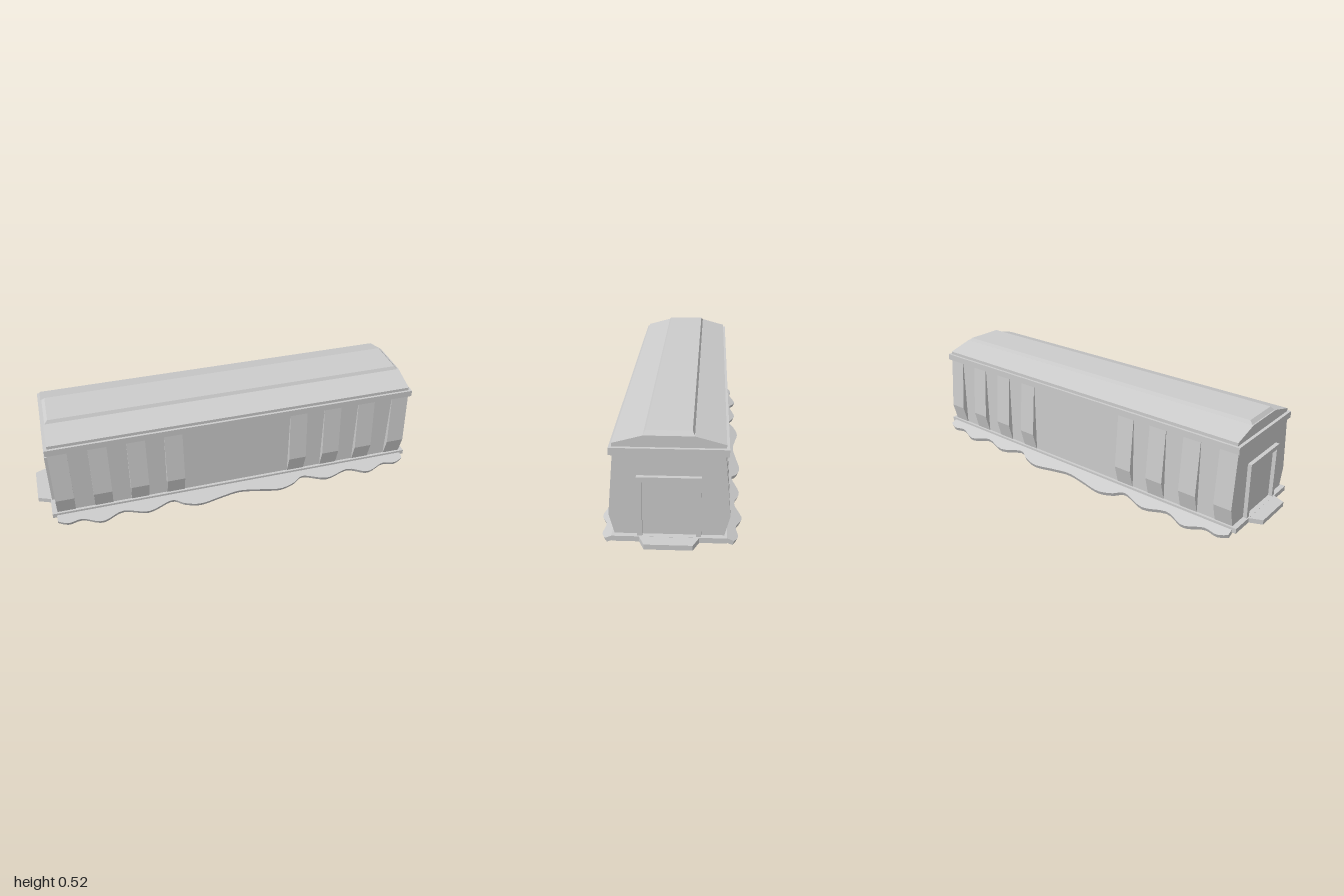
import * as THREE from 'three';

const material = new THREE.MeshStandardMaterial({ color: 0xcccccc, flatShading: true });

function add(parent, name, geometry, x = 0, y = 0, z = 0) {
  const mesh = new THREE.Mesh(geometry, material);
  mesh.name = name;
  mesh.position.set(x, y, z);
  parent.add(mesh);
  return mesh;
}

const shapeOf = (points) => new THREE.Shape(points.map(([a, b]) => new THREE.Vector2(a, b)));

// Extrudes a (z, y) section along x, centred on x = 0
function alongX(points, length) {
  const g = new THREE.ExtrudeGeometry(shapeOf(points), { depth: length, bevelEnabled: false });
  g.translate(0, 0, -length / 2);
  return g.rotateY(-Math.PI / 2).rotateX(0).scale(1, 1, 1);
}

// Box given by its full width, its bottom and top heights and its depth
function slab(parent, name, width, y0, y1, depth) {
  return add(parent, name, new THREE.BoxGeometry(width, y1 - y0, depth), 0, (y0 + y1) / 2, 0);
}

// Sloping skirt with a wavy outer edge, along the +z side
function skirtGeometry() {
  const half = [[0, 0.285], [0.1, 0.297], [0.21, 0.313], [0.29, 0.297], [0.353, 0.27], [0.475, 0.303],
    [0.6, 0.277], [0.705, 0.309], [0.8, 0.28], [0.87, 0.288], [0.92, 0.27]];
  const angle = 0.395, c = Math.cos(angle), s = Math.sin(angle), z0 = 0.226, y0 = 0.0555;
  const edge = [...half.slice(1).reverse().map(([x, z]) => [-x, z]), ...half]
    .map(([x, z]) => new THREE.Vector2(x, (z - z0) / c));
  const shape = new THREE.Shape();
  shape.moveTo(-0.92, 0);
  shape.lineTo(edge[0].x, edge[0].y);
  shape.splineThru(edge.slice(1));
  shape.lineTo(0.92, 0);
  shape.closePath();
  const g = new THREE.ExtrudeGeometry(shape, { depth: 0.02, bevelEnabled: false, curveSegments: 4 });
  const basis = new THREE.Matrix4().makeBasis(
    new THREE.Vector3(1, 0, 0), new THREE.Vector3(0, -s, c), new THREE.Vector3(0, -c, -s));
  return g.applyMatrix4(basis).translate(0, y0, z0);
}

export function createModel() {
  const model = new THREE.Group();
  model.name = 'railCarriage';

  // Main hull: floor, walls and cornice
  slab(model, 'floor', 1.88, 0.037, 0.061, 0.48);
  slab(model, 'body', 1.83, 0.06, 0.43, 0.452);
  slab(model, 'cornice', 1.85, 0.423, 0.455, 0.486);

  // Roof with shallow slopes
  add(model, 'roof', alongX([[-0.231, 0.45], [0.231, 0.45], [0.231, 0.47], [0.104, 0.505],
    [-0.104, 0.505], [-0.231, 0.47]], 1.82));

  // Raised roof panel, tapered on all four sides
  const cap = new THREE.BoxGeometry(1.81, 0.016, 0.208);
  const p = cap.attributes.position;
  for (let i = 0; i < p.count; i++) {
    if (p.getY(i) > 0) p.setXYZ(i, Math.sign(p.getX(i)) * 0.888, p.getY(i), Math.sign(p.getZ(i)) * 0.094);
  }
  cap.computeVertexNormals();
  add(model, 'roofPanel', cap, 0, 0.512, 0);

  // Bulging ribs span both sides of the body
  const ribSection = [[-0.229, 0.061], [0.229, 0.061], [0.252, 0.15], [0.229, 0.42],
    [-0.229, 0.42], [-0.252, 0.15]];
  const rib = alongX(ribSection, 0.09);
  for (const side of [-1, 1]) {
    for (const x of [0.32, 0.502, 0.685, 0.87]) add(model, 'sideRib', rib, side * x);
  }

  // Wavy skirts on both long sides
  const skirt = skirtGeometry();
  add(model, 'leftSkirt', skirt);
  add(model, 'rightSkirt', skirt).rotation.y = Math.PI;

  // Door frame and tapered step at each end
  const frameShape = [[-0.133, 0.06], [-0.112, 0.06], [-0.112, 0.31], [0.112, 0.31], [0.112, 0.06],
    [0.133, 0.06], [0.133, 0.332], [-0.133, 0.332]];
  const frame = alongX(frameShape, 0.03);
  const step = new THREE.ExtrudeGeometry(
    shapeOf([[0.92, -0.125], [0.94, -0.125], [1, -0.1], [1, 0.1], [0.94, 0.125], [0.92, 0.125]]),
    { depth: 0.023, bevelEnabled: false }).rotateX(-Math.PI / 2);
  for (const side of [0, 1]) {
    const end = new THREE.Group();
    end.name = side ? 'rightEnd' : 'leftEnd';
    end.rotation.y = side * Math.PI;
    add(end, 'doorFrame', frame, 0.919);
    add(end, 'doorStep', step, 0, 0.0375, 0);
    model.add(end);
  }
  return model;
}
